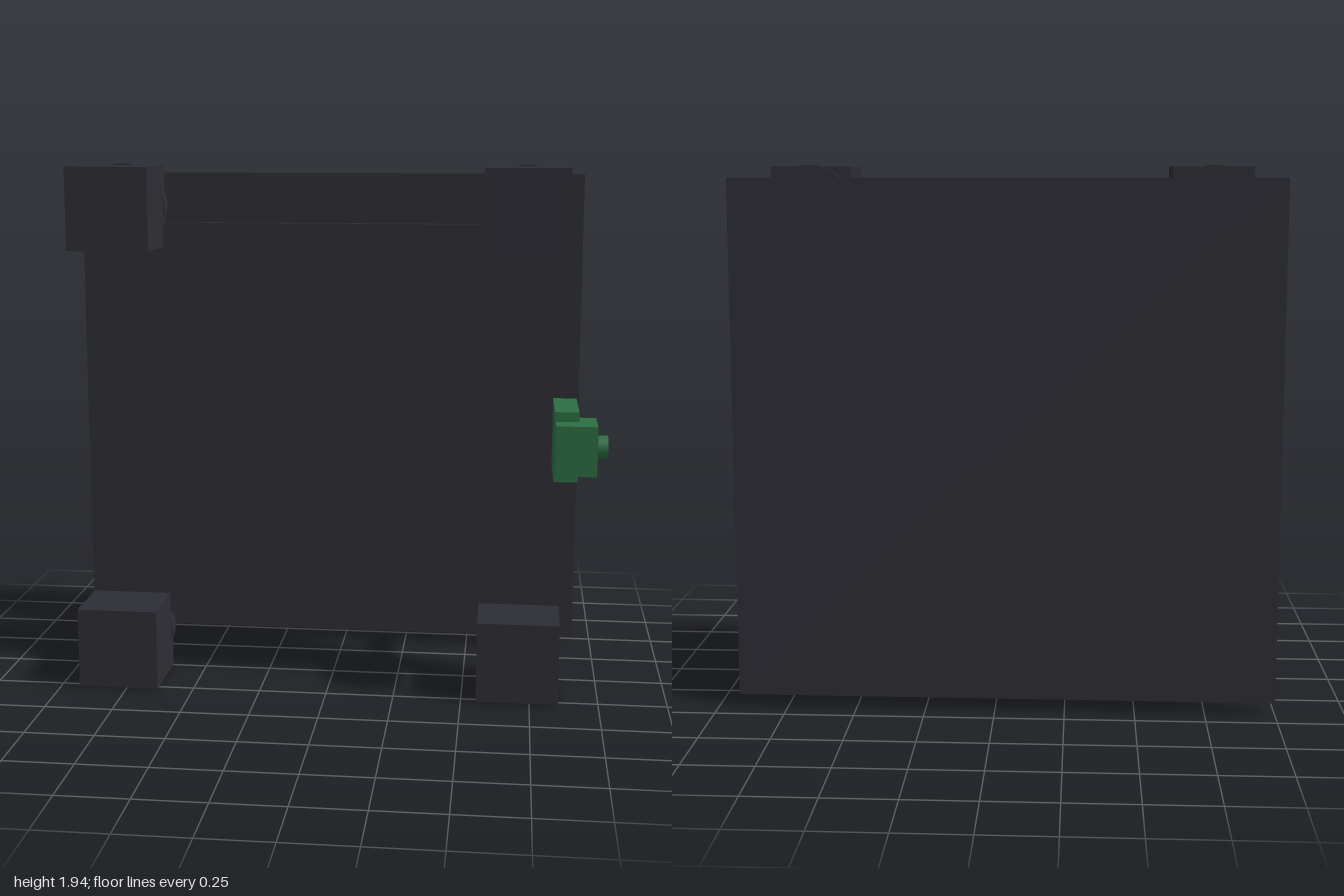
import * as THREE from 'three';

const material = (name, color) => {
  const m = new THREE.MeshStandardMaterial({ color });
  m.name = name;
  return m;
};

export function createModel() {
  const model = new THREE.Group();
  model.name = 'wheeledPlateChassis';
  const dark = material('charcoal', 0x2d2d35);
  const silver = material('silver', 0xc0c4ca);
  const blue = material('blue', 0x2160b2);
  const green = material('green', 0x2c6e42);

  // Box given by its extents along each axis
  const box = (name, mat, [x0, x1], [y0, y1], [z0, z1]) => {
    const mesh = new THREE.Mesh(new THREE.BoxGeometry(x1 - x0, y1 - y0, z1 - z0), mat);
    mesh.position.set((x0 + x1) / 2, (y0 + y1) / 2, (z0 + z1) / 2);
    mesh.name = name;
    model.add(mesh);
  };

  // Cylinder lying along z or x
  const rod = (name, mat, radius, length, axis, x, y, z) => {
    const geo = new THREE.CylinderGeometry(radius, radius, length, 32);
    if (axis === 'z') geo.rotateX(Math.PI / 2);
    else geo.rotateZ(-Math.PI / 2);
    const mesh = new THREE.Mesh(geo, mat);
    mesh.position.set(x, y, z);
    mesh.name = name;
    model.add(mesh);
  };

  // Two parallel plates
  box('frontPlate', dark, [-0.93, 0.855], [0.23, 1.73], [0.005, 0.04]);
  box('backPlate', dark, [-1, 0.925], [0.05, 1.9], [-0.42, -0.38]);

  // Motor block and disc at each corner
  for (const x of [-0.778, 0.705]) {
    for (const y of [0.16, 1.79]) {
      box('motorBlock', dark, [x - 0.149, x + 0.149], [y - 0.149, y + 0.149], [0.005, 0.29]);
      rod('motorDisc', dark, 0.155, 0.057, 'z', x, y, 0.0085);
    }
  }

  // Standoffs joining the plates
  for (const x of [-0.61, 0.53]) {
    for (const y of [0.475, 1.475]) {
      rod('standoff', silver, 0.042, 0.39, 'z', x, y, -0.188);
    }
  }

  // Battery on the back plate
  box('battery', blue, [-0.36, 0.285], [0.765, 1.19], [-0.38, -0.165]);

  // Side sensor on its bracket
  box('sensorBracket', green, [0.815, 0.9], [0.85, 1.1], [0.04, 0.33]);
  box('sensorBody', green, [0.818, 0.962], [0.89, 1.066], [0.242, 0.418]);
  rod('sensorLens', green, 0.042, 0.06, 'x', 0.97, 0.978, 0.33);

  return model;
}
